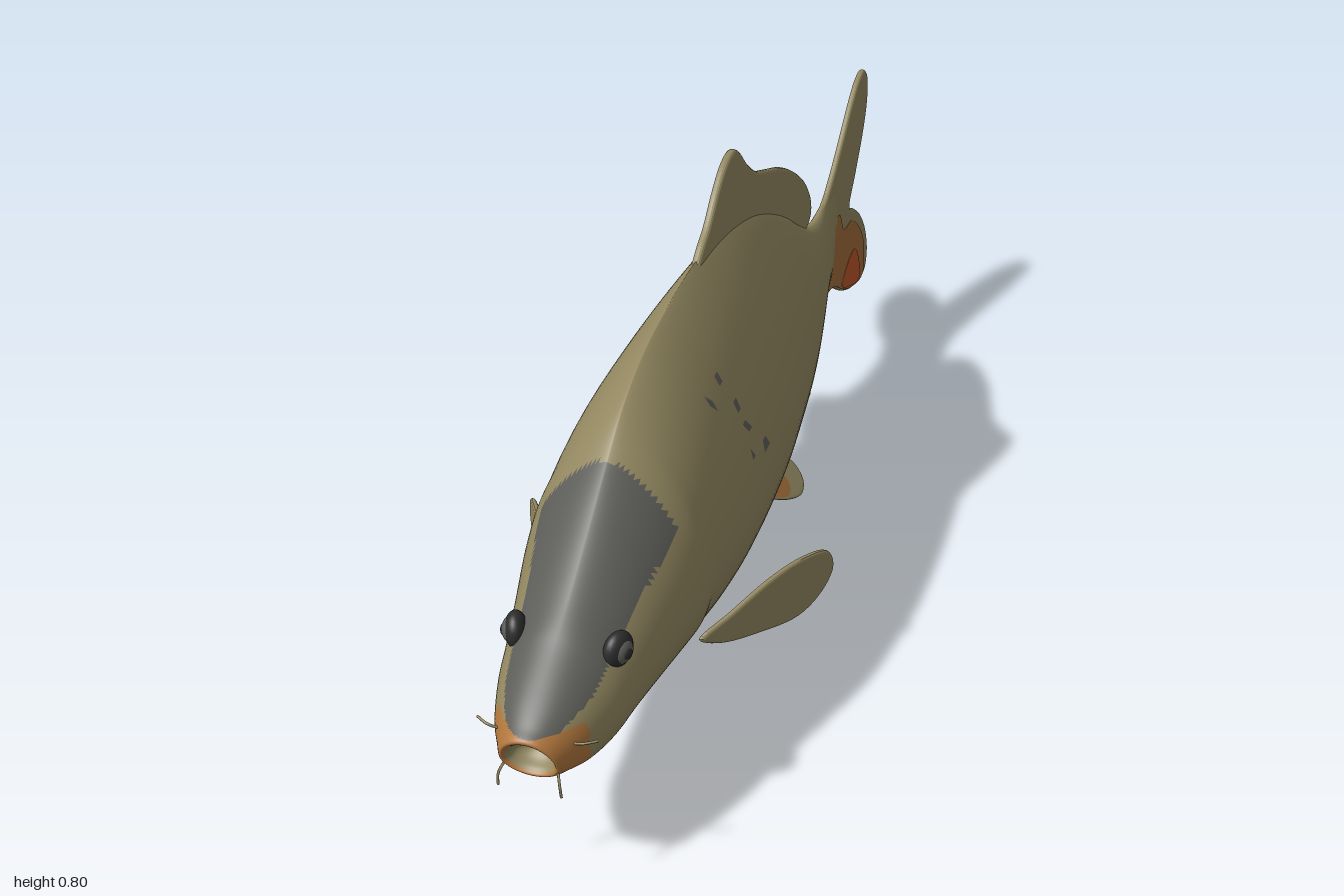
import * as THREE from 'three';

const mat = (name, color, side = THREE.FrontSide) => {
  const m = new THREE.MeshStandardMaterial({ color, side });
  m.name = name;
  return m;
};
const olive = mat('olive skin', 0x928760);
const slate = mat('slate crown', 0x5c5c58);
const orange = mat('fin orange', 0xa06c3a);
const lip = mat('lip orange', 0xb0763c);
const rust = mat('rust red', 0xb9562a);
const black = mat('eye black', 0x2c2d2c);

// Stations from inside the mouth to the tail root: z, top, bottom, half width, pointedness
const STATIONS = [
  [0.93, 0.241, 0.239, 0.002, 1], [0.955, 0.262, 0.222, 0.03, 1], [0.975, 0.27, 0.214, 0.037, 1],
  [0.984, 0.283, 0.205, 0.046, 1], [0.96, 0.297, 0.193, 0.06, 1], [0.92, 0.325, 0.18, 0.08, 1],
  [0.86, 0.37, 0.17, 0.1, 1.15], [0.8, 0.412, 0.165, 0.112, 1.35], [0.72, 0.475, 0.155, 0.128, 1.4],
  [0.64, 0.54, 0.143, 0.142, 1.5], [0.56, 0.6, 0.122, 0.151, 1.6], [0.46, 0.643, 0.092, 0.156, 1.7],
  [0.34, 0.666, 0.068, 0.156, 1.8], [0.2, 0.678, 0.055, 0.15, 1.9], [0.05, 0.67, 0.055, 0.138, 1.9],
  [-0.1, 0.635, 0.065, 0.118, 1.8], [-0.22, 0.585, 0.083, 0.1, 1.7], [-0.32, 0.53, 0.113, 0.083, 1.5],
  [-0.42, 0.465, 0.16, 0.064, 1.3], [-0.5, 0.422, 0.195, 0.048, 1.2], [-0.57, 0.408, 0.204, 0.034, 1.1],
  [-0.64, 0.42, 0.2, 0.021, 1.1], [-0.7, 0.42, 0.215, 0.011, 1], [-0.76, 0.36, 0.26, 0.003, 1],
];

// Half width of the dark crown at each height
const CROWN = [[0.285, 0.04], [0.31, 0.07], [0.37, 0.085], [0.41, 0.1], [0.43, 0.112],
  [0.475, 0.108], [0.485, 0.085], [0.52, 0.055], [0.54, 0.03], [0.545, 0]];
// Flank specks: z, y
const SPECKS = [[0.41, 0.54], [0.35, 0.555], [0.34, 0.5], [0.33, 0.46], [0.34, 0.41], [0.27, 0.39]];

function crownWidth(y) {
  for (let i = 1; i < CROWN.length; i++) {
    const [y0, w0] = CROWN[i - 1], [y1, w1] = CROWN[i];
    if (y >= y0 && y <= y1) return THREE.MathUtils.lerp(w0, w1, (y - y0) / (y1 - y0));
  }
  return 0;
}

// Material slot for a spot on the skin: 0 olive, 1 slate, 2 lip, 3 fin orange
function paint(x, y, z, u) {
  if (u < 0.1) return 0;
  if (z > 0.925 && y < 0.287 && Math.abs(x) < 0.075) return 2;
  if (z > 0.63 && Math.abs(x) < crownWidth(y)) return 1;
  if (z < -0.62 - (y - 0.2) * 0.45 && y < 0.34) return 3;
  if (Math.hypot(z - 0.69, (y - 0.185) * 0.7) < 0.014) return 2;
  return SPECKS.some(([sz, sy]) => Math.hypot(z - sz, y - sy) < 0.01) ? 1 : 0;
}

function buildBody() {
  const rings = 200, sides = 96, pos = [], slots = [[], [], [], []];
  const lengthwise = new THREE.CatmullRomCurve3(STATIONS.map((s) => new THREE.Vector3(s[0], s[1], s[2])), false, 'catmullrom');
  const girth = new THREE.CatmullRomCurve3(STATIONS.map((s) => new THREE.Vector3(s[3], s[4], 0)), false, 'catmullrom');
  for (let i = 0; i <= rings; i++) {
    const { x: z, y: top, z: bottom } = lengthwise.getPoint(i / rings);
    const { x: w, y: p } = girth.getPoint(i / rings);
    const mid = bottom + (top - bottom) * 0.41;
    const gill = 1 + 0.03 * THREE.MathUtils.smoothstep(z, 0.56, 0.6) * (1 - THREE.MathUtils.smoothstep(z, 0.6, 0.75));
    const slant = 0.3 * THREE.MathUtils.smoothstep(z, 0.86, 0.98);
    for (let j = 0; j < sides; j++) {
      const a = (j / sides) * Math.PI * 2, c = Math.cos(a), s = Math.sin(a);
      const power = s > 0 ? p : 1 + (p - 1) * 0.6;
      const y = mid + s * (s > 0 ? top - mid : mid - bottom);
      pos.push(Math.sign(c) * Math.abs(c) ** power * w * gill, y, z + (y - 0.245) * slant);
    }
  }
  const addFace = (u, ...ids) => {
    const mean = (k) => ids.reduce((sum, id) => sum + pos[id * 3 + k], 0) / 3;
    slots[paint(mean(0), mean(1), mean(2), u)].push(...ids);
  };
  for (let i = 0; i < rings; i++) {
    for (let j = 0; j < sides; j++) {
      const k = (j + 1) % sides, a = i * sides + j, b = a + sides, c = i * sides + k, d = c + sides;
      addFace(i / rings, a, b, c);
      addFace(i / rings, b, d, c);
    }
  }
  const geo = new THREE.BufferGeometry();
  geo.setAttribute('position', new THREE.Float32BufferAttribute(pos, 3));
  geo.setIndex(slots.flat());
  let start = 0;
  slots.forEach((list, m) => { geo.addGroup(start, list.length, m); start += list.length; });
  geo.computeVertexNormals();
  const mesh = new THREE.Mesh(geo, [olive, slate, lip, orange]);
  mesh.name = 'body';
  return mesh;
}

// Thin fin plate from a smooth closed outline of [z, y]; lean(z, y) gives its sideways offset
function fin(name, outline, material, half, lean = () => 0, bevel = true) {
  const curve = new THREE.CatmullRomCurve3(outline.map(([z, y]) => new THREE.Vector3(-z, y, 0)), true);
  const shape = new THREE.Shape(curve.getPoints(outline.length * 6).slice(0, -1).map((p) => new THREE.Vector2(p.x, p.y)));
  const rim = bevel ? half * 0.8 : 0;
  const geo = new THREE.ExtrudeGeometry(shape, {
    depth: 2 * (half - rim), bevelEnabled: bevel, bevelThickness: rim, bevelSize: 0.007, bevelOffset: -0.007, bevelSegments: 3,
  });
  geo.translate(0, 0, -(half - rim)).rotateY(Math.PI / 2);
  const p = geo.attributes.position;
  for (let i = 0; i < p.count; i++) p.setX(i, p.getX(i) + lean(p.getZ(i), p.getY(i)));
  geo.computeVertexNormals();
  const mesh = new THREE.Mesh(geo, material);
  mesh.name = name;
  return mesh;
}
const patch = (name, outline, material, half, lean) => fin(name, outline, material, half, lean, false);

function ball(name, radius, material, position, scale, turn) {
  const mesh = new THREE.Mesh(new THREE.SphereGeometry(radius, 24, 16), material);
  mesh.name = name;
  mesh.position.set(...position);
  mesh.scale.set(...scale);
  mesh.rotation.y = turn;
  return mesh;
}

function barbel(name, points) {
  const curve = new THREE.CatmullRomCurve3(points.map((p) => new THREE.Vector3(...p)));
  const mesh = new THREE.Mesh(new THREE.TubeGeometry(curve, 10, 0.0022, 6), olive);
  mesh.name = name;
  return mesh;
}

export function createModel() {
  const fish = new THREE.Group();
  fish.name = 'fish';
  fish.add(buildBody());

  // Dorsal fin
  fish.add(fin('dorsalFin', [[0.22, 0.65], [0.18, 0.69], [0.14, 0.715], [0.09, 0.76], [0.045, 0.79], [0, 0.798],
    [-0.03, 0.782], [-0.07, 0.745], [-0.13, 0.703], [-0.2, 0.675], [-0.3, 0.637], [-0.4, 0.582], [-0.47, 0.528],
    [-0.507, 0.475], [-0.505, 0.445], [-0.46, 0.428], [-0.38, 0.46], [-0.2, 0.56], [0, 0.62]], olive, 0.008));

  // Tail fin with painted lower lobe
  fish.add(fin('tailFin', [[-0.58, 0.39], [-0.65, 0.428], [-0.7, 0.46], [-0.76, 0.505], [-0.83, 0.56], [-0.88, 0.59],
    [-0.925, 0.597], [-0.952, 0.57], [-0.955, 0.52], [-0.93, 0.46], [-0.87, 0.38], [-0.825, 0.322], [-0.87, 0.297],
    [-0.93, 0.255], [-0.98, 0.195], [-1, 0.135], [-0.985, 0.098], [-0.94, 0.09], [-0.85, 0.11], [-0.78, 0.14],
    [-0.7, 0.185], [-0.62, 0.206], [-0.58, 0.22]], olive, 0.007));
  fish.add(patch('tailOrange', [[-0.63, 0.208], [-0.65, 0.26], [-0.69, 0.335], [-0.735, 0.342], [-0.775, 0.29],
    [-0.84, 0.282], [-0.91, 0.235], [-0.955, 0.18], [-0.965, 0.105], [-0.94, 0.095], [-0.85, 0.115], [-0.78, 0.145],
    [-0.7, 0.19]], orange, 0.008));
  fish.add(patch('tailRed', [[-0.77, 0.16], [-0.81, 0.19], [-0.87, 0.2], [-0.91, 0.16], [-0.925, 0.105], [-0.85, 0.12]], rust, 0.009));

  // Anal fin
  fish.add(fin('analFin', [[-0.26, 0.115], [-0.32, 0.075], [-0.38, 0.045], [-0.44, 0.022], [-0.5, 0.014], [-0.533, 0.02],
    [-0.528, 0.05], [-0.505, 0.09], [-0.5, 0.14], [-0.512, 0.19], [-0.5, 0.215], [-0.4, 0.2]], olive, 0.008));
  fish.add(patch('analOrange', [[-0.275, 0.112], [-0.33, 0.075], [-0.39, 0.046], [-0.45, 0.025], [-0.485, 0.025],
    [-0.488, 0.08], [-0.475, 0.14], [-0.43, 0.18], [-0.36, 0.16]], orange, 0.009));
  fish.add(patch('analRed', [[-0.35, 0.068], [-0.4, 0.105], [-0.445, 0.125], [-0.465, 0.08], [-0.465, 0.028], [-0.42, 0.037]], rust, 0.01));

  // Paired parts
  for (const side of [1, -1]) {
    const tag = side > 0 ? 'left' : 'right';
    const pectoralLean = (z) => side * (0.125 + (0.55 - z) * 0.6);
    fish.add(fin(tag + 'PectoralFin', [[0.555, 0.182], [0.5, 0.203], [0.42, 0.232], [0.36, 0.24], [0.315, 0.23], [0.302, 0.19],
      [0.325, 0.15], [0.37, 0.126], [0.45, 0.135], [0.52, 0.155]], olive, 0.006, pectoralLean));

    const pelvicLean = (z, y) => side * (0.03 + (0.062 - y) * 0.95);
    fish.add(fin(tag + 'PelvicFin', [[-0.02, 0.085], [-0.08, 0.045], [-0.13, 0.017], [-0.18, 0.003], [-0.22, 0.014],
      [-0.232, 0.04], [-0.21, 0.065], [-0.16, 0.078], [-0.09, 0.09]], olive, 0.005, pelvicLean));
    fish.add(patch(tag + 'PelvicOrange', [[-0.04, 0.073], [-0.09, 0.044], [-0.14, 0.022], [-0.17, 0.035], [-0.165, 0.06],
      [-0.1, 0.08]], orange, 0.006, pelvicLean));

    fish.add(ball(tag + 'Eye', 0.03, black, [side * 0.082, 0.345, 0.82], [0.6, 1, 0.95], -side * 0.35));
    fish.add(ball(tag + 'Iris', 0.02, slate, [side * 0.091, 0.345, 0.823], [0.6, 1, 0.95], -side * 0.35));
    fish.add(ball(tag + 'Pupil', 0.01, black, [side * 0.0985, 0.345, 0.826], [0.6, 1, 1], -side * 0.35));

    fish.add(barbel(tag + 'UpperBarbel', [[side * 0.055, 0.262, 0.95], [side * 0.075, 0.27, 0.955], [side * 0.095, 0.272, 0.945]]));
    fish.add(barbel(tag + 'LowerBarbel', [[side * 0.04, 0.228, 0.97], [side * 0.048, 0.21, 0.985], [side * 0.05, 0.187, 0.985]]));
  }
  return fish;
}
